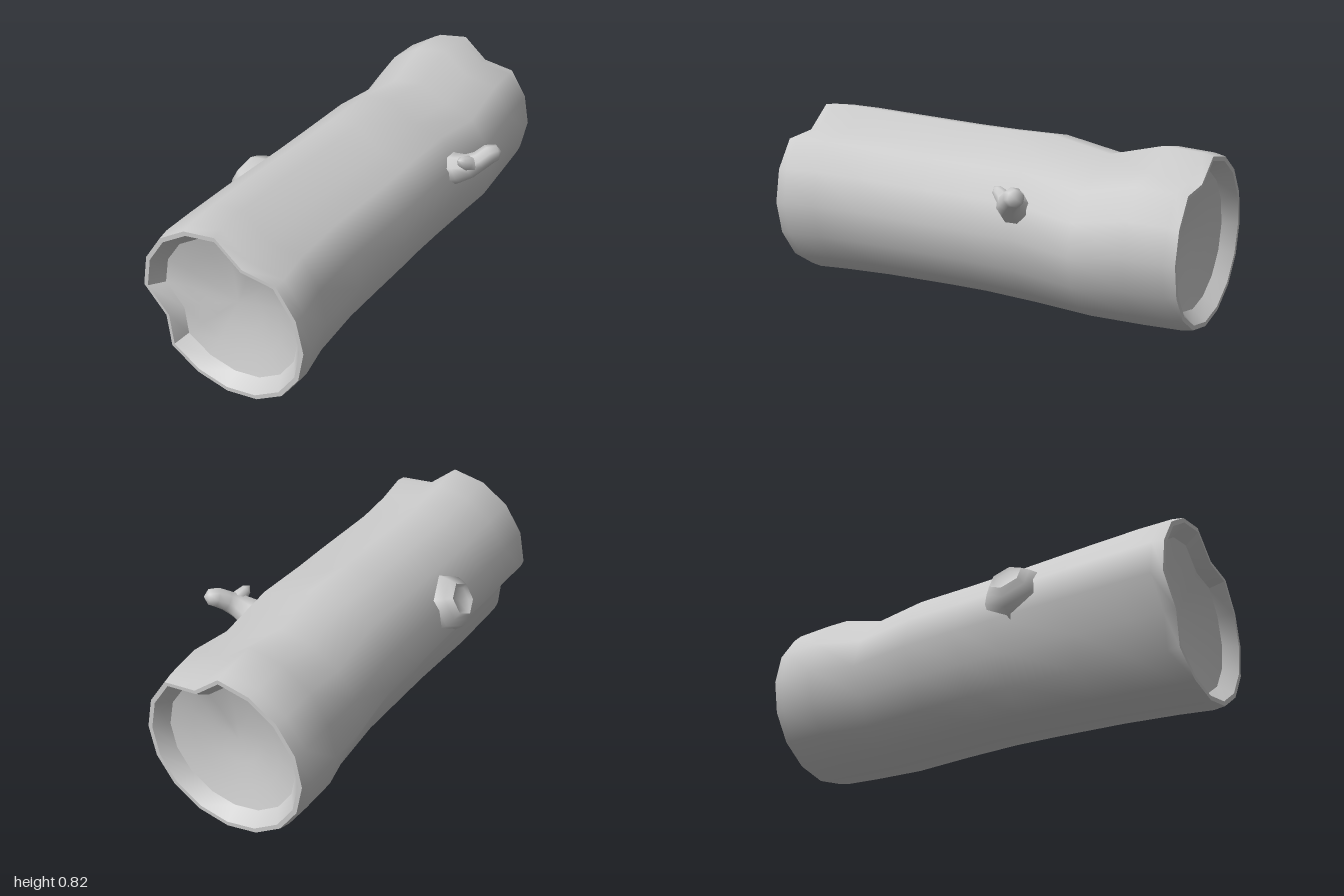
import * as THREE from 'three';
import { toCreasedNormals } from 'three/addons/utils/BufferGeometryUtils.js';

const V = (x, y, z) => new THREE.Vector3(x, y, z);
const material = new THREE.MeshStandardMaterial({ color: 0xcccccc });

// Skin a run of equal-sized rings; each ring turns counter-clockwise against the sweep.
function loft(name, rings, crease) {
  const n = rings[0].length;
  const pos = [], index = [];
  rings.forEach(r => r.forEach(p => pos.push(p.x, p.y, p.z)));
  const tri = (a, b, c) => {
    const p = [a, b, c].map(i => rings[Math.floor(i / n)][i % n]);
    if (!p[0].equals(p[1]) && !p[1].equals(p[2]) && !p[2].equals(p[0])) index.push(a, b, c);
  };
  for (let j = 0; j < rings.length - 1; j++) {
    for (let i = 0; i < n; i++) {
      const k = (i + 1) % n;
      const a = j * n + i, b = a + n, c = (j + 1) * n + k, d = j * n + k;
      tri(a, b, d);
      tri(b, c, d);
    }
  }
  const geo = new THREE.BufferGeometry();
  geo.setAttribute('position', new THREE.Float32BufferAttribute(pos, 3));
  geo.setIndex(index);
  const mesh = new THREE.Mesh(toCreasedNormals(geo, crease), material);
  mesh.name = name;
  return mesh;
}

// Regular ring around a centre, facing along dir.
function ring(center, dir, radius, n) {
  const q = new THREE.Quaternion().setFromUnitVectors(V(0, 0, 1), dir.clone().normalize().negate());
  return Array.from({ length: n }, (_, i) => {
    const a = (i / n) * Math.PI * 2;
    return V(Math.cos(a) * radius, Math.sin(a) * radius, 0).applyQuaternion(q).add(center);
  });
}

// Trunk stations: z, left, right, bottom, top, upper groove depth, side groove depth
const stations = [
  [1.00, -0.452, 0.355, 0.012, 0.815, 0.195, 0.2],
  [0.95, -0.46, 0.36, 0.005, 0.823, 0.195, 0.2],
  [0.80, -0.455, 0.33, 0.01, 0.82, 0.195, 0.2],
  [0.55, -0.45, 0.318, 0.022, 0.81, 0.195, 0.18],
  [0.20, -0.432, 0.335, 0.04, 0.802, 0.185, 0.14],
  [0.00, -0.425, 0.34, 0.045, 0.80, 0.18, 0.12],
  [-0.26, -0.412, 0.35, 0.042, 0.805, 0.16, 0.11],
  [-0.54, -0.42, 0.36, 0.032, 0.75, 0.11, 0.08],
  [-0.78, -0.44, 0.35, 0.03, 0.81, 0.18, 0],
  [-0.95, -0.435, 0.335, 0.035, 0.80, 0.19, 0],
  [-1.00, -0.42, 0.325, 0.045, 0.79, 0.19, 0],
];

// Sixteen-sided cross-section, with the grooves cut at two corners
function section([, l, r, b, t, upper, side], z, inset) {
  return Array.from({ length: 16 }, (_, i) => {
    const a = (i / 16) * Math.PI * 2;
    const s = 1 - (i === 3 ? upper : i === 9 ? side : 0);
    const rx = Math.max(0, (r - l) / 2 - inset), ry = Math.max(0, (t - b) / 2 - inset);
    return V((l + r) / 2 + Math.cos(a) * rx * s, (b + t) / 2 + Math.sin(a) * ry * s, z);
  });
}

// Rim, short inner wall and shallow dish: depth, inset
const hollow = [[0, 0], [0, 0.02], [0.06, 0.067], [0.085, 0.16], [0.105, 0.27], [0.115, 1]];

function hollowEnd(name, station, sign) {
  const rings = hollow.map(([depth, inset]) => section(station, sign * (1 - depth), inset));
  return loft(name, sign > 0 ? rings.reverse() : rings, 0.6);
}

// Knot: flared base, blunt rim and slightly sunken middle
function knot() {
  const dir = V(-0.87, 0.48, 0).normalize();
  const base = V(-0.385, 0.545, 0.285);
  const profile = [[-0.04, 0.145], [0.025, 0.132], [0.06, 0.105], [0.087, 0.078], [0.075, 0.06], [0.06, 0]];
  const rings = profile.map(([h, r]) => ring(base.clone().addScaledVector(dir, h), dir, r, 6));
  return loft('knot', rings, 1.08);
}

// Tapering limb through points [x, y, z, radius]
function limb(name, pts) {
  const at = pts.map(p => V(p[0], p[1], p[2]));
  const rings = pts.map((p, i) => {
    const dir = at[Math.min(i + 1, at.length - 1)].clone().sub(at[Math.max(i - 1, 0)]);
    return ring(at[i], dir, p[3], 8);
  });
  return loft(name, rings, 1.3);
}

export function createModel() {
  const group = new THREE.Group();
  group.name = 'hollowLog';
  group.add(
    loft('trunk', stations.map(s => section(s, s[0], 0)), 1.5),
    hollowEnd('frontHollow', stations[0], 1),
    hollowEnd('backHollow', stations[stations.length - 1], -1),
    knot(),
  );

  // Broken branch with a main tip and a short spur
  const branch = new THREE.Group();
  branch.name = 'branch';
  branch.add(
    limb('branchStem', [
      [0.27, 0.54, -0.26, 0.085], [0.33, 0.562, -0.265, 0.068], [0.38, 0.585, -0.275, 0.055],
      [0.415, 0.61, -0.3, 0.046], [0.445, 0.638, -0.335, 0.045], [0.472, 0.644, -0.36, 0.036], [0.488, 0.646, -0.372, 0],
    ]),
    limb('branchSpur', [
      [0.4, 0.59, -0.285, 0.04], [0.382, 0.617, -0.245, 0.034], [0.37, 0.637, -0.213, 0.024], [0.364, 0.65, -0.195, 0],
    ]),
  );
  group.add(branch);
  return group;
}
